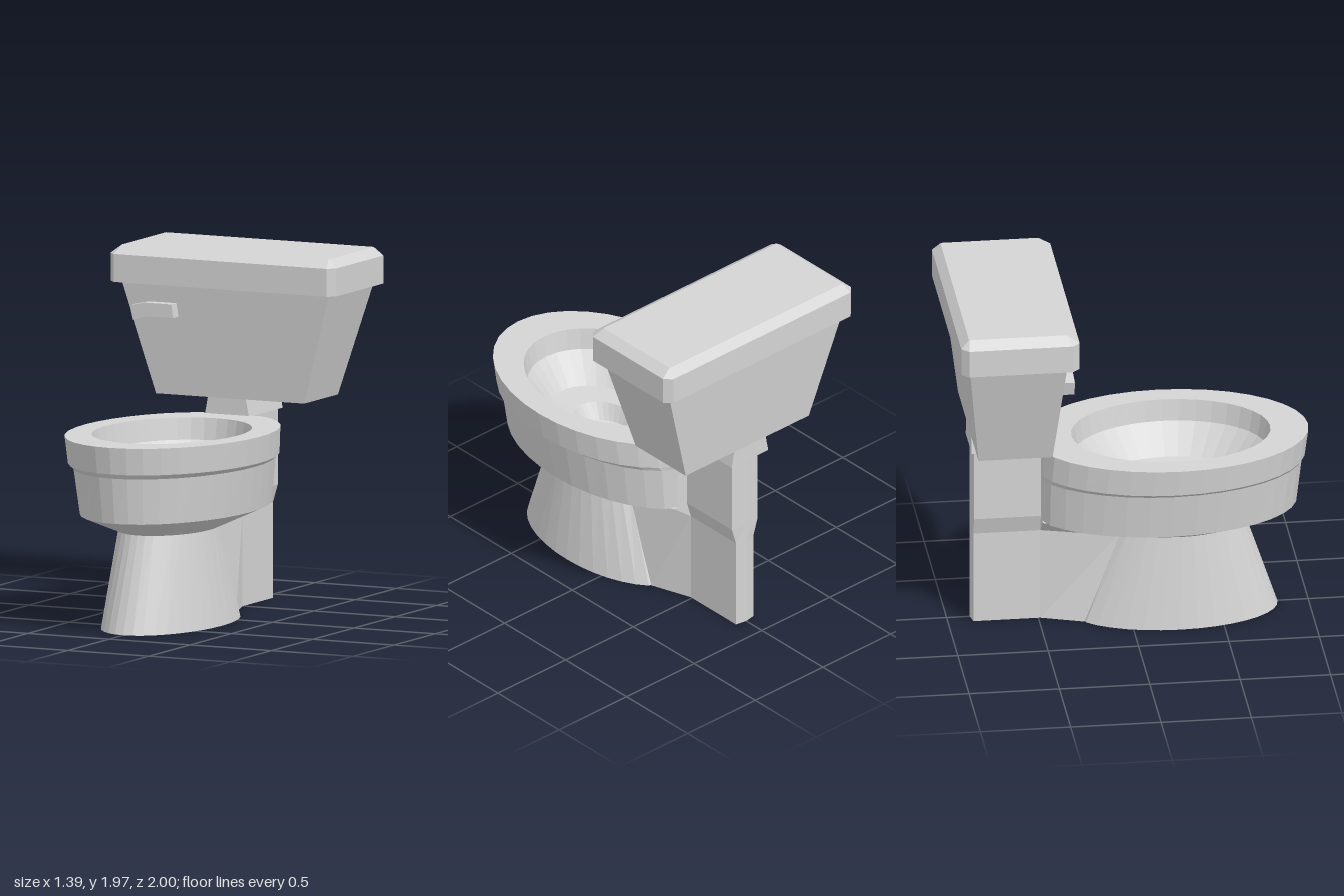
import * as THREE from 'three';

const N = 36;

// Horizontal ellipse ring, optionally cut flat at the back
function oval(y, rx, rz, cz, back = -9) {
  const ring = [];
  for (let i = 0; i < N; i++) {
    const a = (i / N) * Math.PI * 2;
    ring.push([rx * Math.cos(a), y, Math.max(back, cz + rz * Math.sin(a))]);
  }
  return ring;
}

// Horizontal rectangle ring, optionally with cut corners
function rect(y, x, zb, zf, c = 0, cx = 0) {
  const pts = c
    ? [[x, zb + c], [x, zf - c], [x - c, zf], [c - x, zf], [-x, zf - c], [-x, zb + c], [c - x, zb], [x - c, zb]]
    : [[x, zb], [x, zf], [-x, zf], [-x, zb]];
  return pts.map(([px, pz]) => [px + cx, y, pz]);
}

// Skin a stack of rings and close both ends
function loft(rings) {
  const pos = [];
  const tri = (a, b, c) => pos.push(...a, ...b, ...c);
  const n = rings[0].length;
  const mid = (r) => [0, 1, 2].map((k) => r.reduce((s, p) => s + p[k], 0) / n);
  const first = rings[0], last = rings[rings.length - 1];
  const c0 = mid(first), c1 = mid(last);
  for (let i = 0; i < n; i++) {
    const j = (i + 1) % n;
    for (let k = 0; k < rings.length - 1; k++) {
      const a = rings[k], b = rings[k + 1];
      tri(a[i], b[i], a[j]);
      tri(b[i], b[j], a[j]);
    }
    tri(c0, first[i], first[j]);
    tri(c1, last[j], last[i]);
  }
  const g = new THREE.BufferGeometry();
  g.setAttribute('position', new THREE.Float32BufferAttribute(pos, 3));
  g.computeVertexNormals();
  return g;
}

export function createModel() {
  const group = new THREE.Group();
  const ceramic = new THREE.MeshStandardMaterial({ color: 0xd4d4d4, flatShading: true });
  ceramic.name = 'ceramic';
  const add = (name, geometry) => {
    const mesh = new THREE.Mesh(geometry, ceramic);
    mesh.name = name;
    group.add(mesh);
  };

  // Flared oval foot
  add('pedestal', loft([
    oval(0, 0.315, 0.578, 0.252, -0.26),
    oval(0.535, 0.25, 0.378, 0.272, -0.05),
  ]));

  // Bowl: underside, outer wall, rim, then down inside to the drain
  add('bowl', loft([
    oval(0.53, 0.25, 0.378, 0.272, -0.05),
    oval(0.63, 0.455, 0.745, 0.19, -0.49),
    oval(0.885, 0.49, 0.76, 0.205, -0.49),
    oval(0.91, 0.525, 0.765, 0.215, -0.49),
    oval(1.06, 0.54, 0.77, 0.23, -0.49),
    oval(1.06, 0.41, 0.55, 0.24),
    oval(0.94, 0.39, 0.53, 0.24),
    oval(0.78, 0.265, 0.4, 0.24),
    oval(0.765, 0.16, 0.24, 0.24),
    oval(0.68, 0.12, 0.18, 0.24),
    oval(0.64, 0.05, 0.08, 0.24),
  ]));

  // Web joining the foot to the rear column
  const web = (y, wBack, zFront, wFront) =>
    [[wBack, y, -0.49], [wFront, y, zFront], [-wFront, y, zFront], [-wBack, y, -0.49]];
  add('web', loft([
    web(0, 0.065, -0.255, 0.146),
    web(0.53, 0.065, -0.045, 0.13),
    web(0.63, 0.19, -0.03, 0.42),
  ]));

  // Rear column with a shallow ridge down its back
  const column = (y, w) =>
    [[w, y, -0.86], [w, y, -0.48], [-w, y, -0.48], [-w, y, -0.86], [0, y, -0.872]];
  add('rearColumn', loft([column(0, 0.065), column(0.53, 0.065), column(0.63, 0.095), column(1.06, 0.095)]));

  // Neck under the tank
  add('neck', loft([
    rect(1.055, 0.135, -0.88, -0.47, 0, -0.02),
    rect(1.16, 0.115, -0.88, -0.47, 0, -0.02),
  ]));

  // Tank widening upward, and its bevelled lid
  add('tank', loft([rect(1.15, 0.455, -0.88, -0.47), rect(1.775, 0.64, -0.95, -0.41)]));
  add('lid', loft([
    rect(1.77, 0.695, -1, -0.345, 0.04),
    rect(1.925, 0.695, -1, -0.345, 0.04),
    rect(1.97, 0.64, -0.955, -0.41, 0.004),
  ]));

  // Bent flush lever
  const lever = new THREE.Shape([
    [-0.565, 1.645], [-0.545, 1.565], [-0.455, 1.59], [-0.295, 1.59], [-0.305, 1.665], [-0.47, 1.665],
  ].map(([x, y]) => new THREE.Vector2(x, y)));
  const leverGeo = new THREE.ExtrudeGeometry(lever, { depth: 0.085, bevelEnabled: false });
  leverGeo.translate(0, 0, -0.445);
  add('flushLever', leverGeo);

  return group;
}
